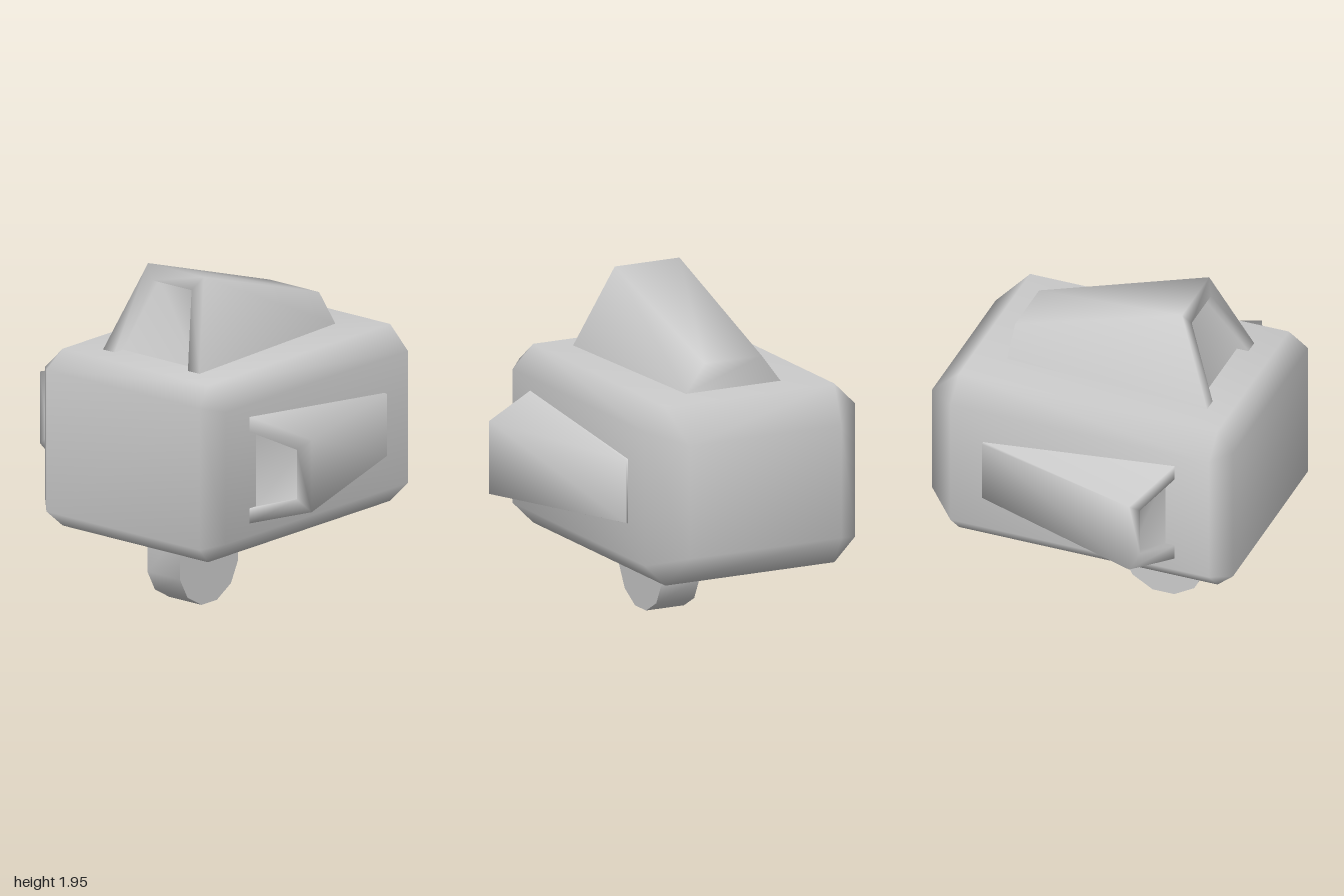
import * as THREE from 'three';
import { mergeVertices, toCreasedNormals } from 'three/addons/utils/BufferGeometryUtils.js';

const material = new THREE.MeshStandardMaterial({ color: 0xcccccc, side: THREE.DoubleSide });

function addMesh(parent, name, geometry) {
  const mesh = new THREE.Mesh(geometry, material);
  mesh.name = name;
  parent.add(mesh);
  return mesh;
}

// Smooth skin over rings of equal point count, ordered back to front,
// each counter-clockwise seen from the front; both ends are capped.
function loft(rings, closed) {
  const n = rings[0].length;
  const index = [];
  const last = (rings.length - 1) * n;
  for (let k = 0; k < rings.length - 1; k++) {
    for (let i = 0; i < (closed ? n : n - 1); i++) {
      const a = k * n + i, b = k * n + (i + 1) % n;
      index.push(a, b, b + n, a, b + n, a + n);
    }
  }
  for (let i = 1; i < n - 1; i++) {
    index.push(0, i + 1, i);
    index.push(last, last + i, last + i + 1);
  }
  let geometry = new THREE.BufferGeometry();
  geometry.setAttribute('position', new THREE.Float32BufferAttribute(rings.flat(2), 3));
  geometry.setIndex(index);
  geometry = mergeVertices(geometry, 1e-4);
  geometry.computeVertexNormals();
  return geometry;
}

// Rectangle with corners cut by c, as an eight-point ring at depth z
function cutRect(w, y0, y1, c, z) {
  return [
    [-w + c, y0, z], [w - c, y0, z], [w, y0 + c, z], [w, y1 - c, z],
    [w - c, y1, z], [-w + c, y1, z], [-w, y1 - c, z], [-w, y0 + c, z],
  ];
}

// Four-point arch: half widths and depths at its base and top
const arch = (w0, z0, w1, h, z1) => [[w0, 0, z0], [w1, h, z1], [-w1, h, z1], [-w0, 0, z0]];

// Wedge-shaped scoop rising along +y with a framed, recessed front opening
function scoop({ back, outer, inner, depth }) {
  const [b0, b1, bh, bz] = back;
  const [w0, z0, w1, h, z1] = outer;
  const [i0, i1, ih] = inner;
  const iz = z0 + (z1 - z0) * ih / h;
  return loft([
    arch(b0, bz, b1, bh, bz),
    arch(w0, z0, w1, h, z1),
    arch(i0, z0, i1, ih, iz),
    arch(i0, z0 - depth, i1, ih, iz - depth),
  ], false);
}

export function createModel() {
  const model = new THREE.Group();
  model.name = 'model';

  // Body: box with bevelled edges, wider bevel at the back
  addMesh(model, 'body', loft([
    cutRect(0.48, 0.62, 1.27, 0, -0.92),
    cutRect(0.665, 0.43, 1.46, 0.13, -0.735),
    cutRect(0.665, 0.43, 1.46, 0.13, 0.815),
    cutRect(0.565, 0.53, 1.355, 0, 0.92),
  ], true));

  // Top scoop
  const top = addMesh(model, 'topScoop', scoop({
    back: [0.30, 0.18, 0.16, -0.54],
    outer: [0.355, 0.68, 0.205, 0.485, 0.47],
    inner: [0.27, 0.145, 0.405],
    depth: 0.07,
  }));
  top.position.y = 1.46;

  // Side scoops
  const sideGeometry = scoop({
    back: [0.185, 0.18, 0.015, -0.54],
    outer: [0.31, 0.61, 0.21, 0.335, 0.47],
    inner: [0.222, 0.145, 0.255],
    depth: 0.055,
  });
  for (const [name, s] of [['leftScoop', 1], ['rightScoop', -1]]) {
    const side = addMesh(model, name, sideGeometry);
    side.position.set(s * 0.665, 0.945, 0);
    side.rotation.z = -s * Math.PI / 2;
  }

  // Foot: rounded slab under the front half
  const profile = new THREE.Shape([
    [0.08, 0.46], [0.08, 0.19], [0.14, 0.07], [0.26, 0],
    [0.39, 0], [0.51, 0.07], [0.575, 0.19], [0.575, 0.46],
  ].map(([z, y]) => new THREE.Vector2(z, y)));
  const foot = new THREE.ExtrudeGeometry(profile, { depth: 0.24, bevelEnabled: false });
  foot.rotateY(-Math.PI / 2).translate(0.12, 0, 0);
  addMesh(model, 'foot', toCreasedNormals(foot, 1));

  return model;
}
